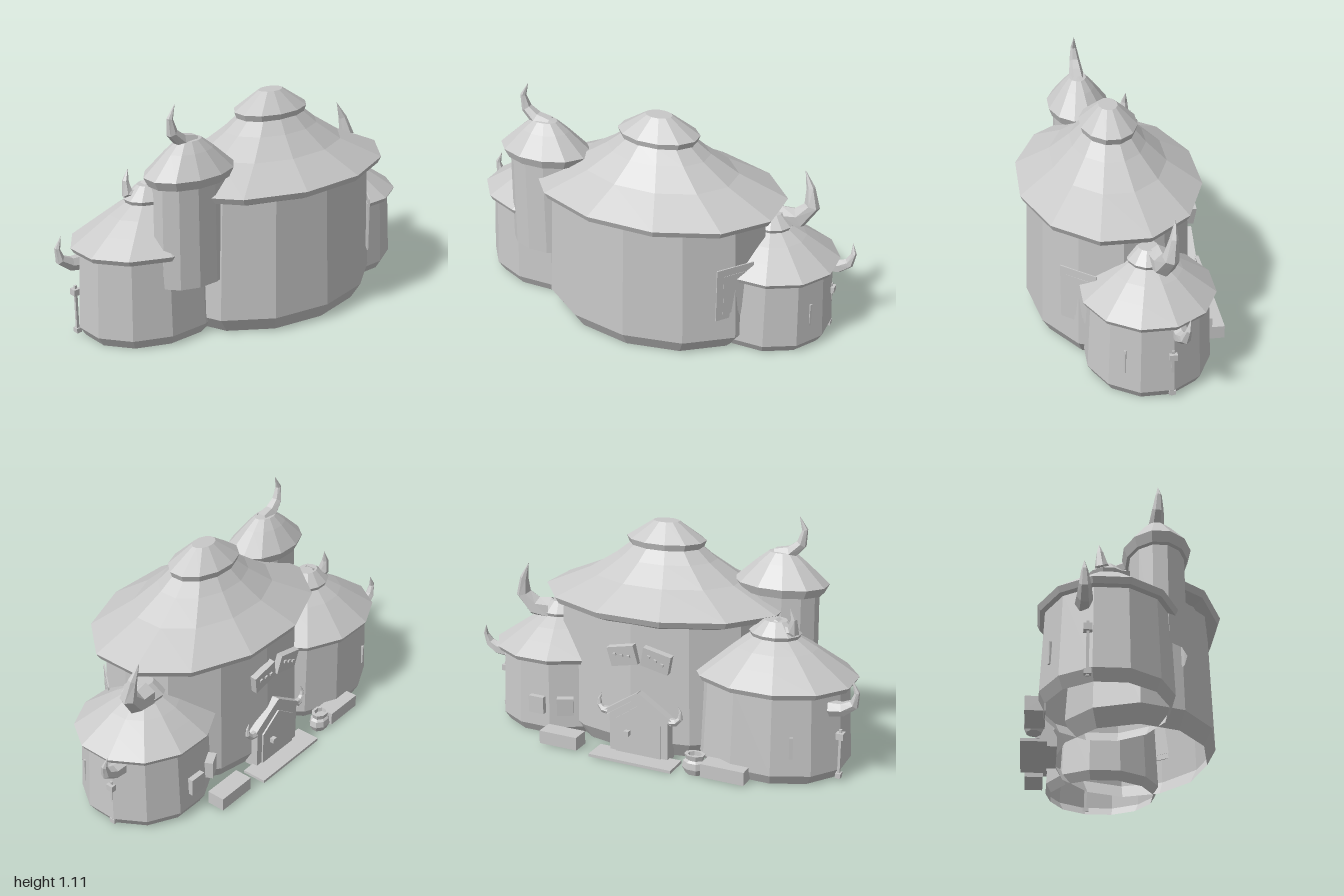
import * as THREE from 'three';

const stone = new THREE.MeshStandardMaterial({ color: 0xc8c8c8, flatShading: true, side: THREE.DoubleSide });
stone.name = 'plainGrey';

const HALF = Math.PI / 12; // half of one of the twelve facets
const rad = (deg) => (deg * Math.PI) / 180;

function add(parent, name, geometry, x = 0, y = 0, z = 0) {
  const mesh = new THREE.Mesh(geometry, stone);
  mesh.name = name;
  mesh.position.set(x, y, z);
  parent.add(mesh);
  return mesh;
}

function box(parent, name, w, h, d, x, y, z) {
  return add(parent, name, new THREE.BoxGeometry(w, h, d), x, y, z);
}

// Twelve-sided oval shell: profile gives [distance to facet, height], stretched along x
function shell(parent, name, profile, cx, cz, stretch, phase = HALF) {
  const pts = profile.map(([r, y]) => new THREE.Vector2(r / Math.cos(HALF), y));
  const g = new THREE.LatheGeometry(pts, 12, phase);
  g.scale(stretch, 1, 1);
  return add(parent, name, g, cx, 0, cz);
}

// Tapered curved horn along a short path
function horn(parent, name, path, radius) {
  const curve = new THREE.CatmullRomCurve3(path.map((p) => new THREE.Vector3(...p)));
  const segs = 4, sides = 6;
  const g = new THREE.TubeGeometry(curve, segs, radius, sides);
  const pos = g.attributes.position, v = new THREE.Vector3();
  for (let i = 0; i <= segs; i++) {
    const c = curve.getPointAt(i / segs);
    const k = 1 - Math.pow(i / segs, 1.5) * 0.99;
    for (let j = 0; j <= sides; j++) {
      const n = i * (sides + 1) + j;
      v.fromBufferAttribute(pos, n).sub(c).multiplyScalar(k).add(c);
      pos.setXYZ(n, v.x, v.y, v.z);
    }
  }
  return add(parent, name, g);
}

// Box lying against the wall of an oval hut, facing outward
function onWall(parent, name, hut, deg, y, w, h, d) {
  const a = rad(deg), rx = hut.r * hut.stretch;
  const mesh = box(parent, name, w, h, d, hut.x + rx * Math.sin(a), y, hut.z + hut.r * Math.cos(a));
  mesh.rotation.y = Math.atan2(Math.sin(a) / rx, Math.cos(a) / hut.r);
  return mesh;
}

const mainHut = { x: 0.07, z: 0.045, r: 0.388, stretch: 1.4 };
const rightHut = { x: 0.6, z: -0.06, r: 0.274, stretch: 1.085 };
const leftHut = { x: -0.545, z: -0.105, r: 0.28, stretch: 1.265 };

function buildMainHut(root) {
  const g = new THREE.Group();
  g.name = 'mainHut';
  root.add(g);
  const { x, z } = mainHut;
  shell(g, 'mainWall', [[0.347, 0], [0.387, 0.075], [0.368, 0.65]], x, z, 1.4, 0);
  shell(g, 'mainRoof', [[0.36, 0.632], [0.408, 0.655], [0.42, 0.685], [0.262, 0.785], [0.17, 0.87], [0.118, 0.93]], x, z, 1.43);
  shell(g, 'roofCap', [[0.1, 0.925], [0.122, 0.925], [0.13, 0.955], [0.043, 1.04], [0, 1.04]], x, z - 0.003, 1.48);

  // Side window, nearly flush with the wall
  onWall(g, 'windowFrame', mainHut, 60, 0.325, 0.19, 0.27, 0.006);
  onWall(g, 'windowPanel', mainHut, 60, 0.32, 0.12, 0.205, 0.009);

  // Tilted notice boards with studs over the door
  for (const s of [-1, 1]) {
    const board = new THREE.Group();
    board.name = 'noticeBoard';
    board.position.set(0.02 + s * 0.085, 0.49, -0.345);
    board.rotation.set(-0.1, 0, -s * 0.22);
    g.add(board);
    box(board, 'boardPlate', 0.14, 0.095, 0.03, 0, 0, 0);
    for (const k of [-1, 0, 1]) box(board, 'boardStud', 0.015, 0.012, 0.01, k * 0.035, 0.005 + k * 0.008, -0.018);
  }
}

function buildHut(root, name, hut, ry, profileScale) {
  const g = new THREE.Group();
  g.name = name;
  root.add(g);
  const fit = (pts) => pts.map(([r, y]) => [r * profileScale, y * ry]);
  shell(g, 'hutWall', fit([[0.255, 0], [0.28, 0.043], [0.264, 0.375]]), hut.x, hut.z, hut.stretch);
  shell(g, 'hutRoof', fit([[0.255, 0.365], [0.285, 0.37], [0.296, 0.392], [0.215, 0.452], [0.15, 0.5], [0.088, 0.54]]), hut.x, hut.z, hut.stretch);
  shell(g, 'hutCap', fit([[0.07, 0.537], [0.085, 0.537], [0.093, 0.555], [0.042, 0.605], [0, 0.605]]), hut.x, hut.z, hut.stretch);
  return g;
}

// Thin pole on the outer wall, under a horn
function wallPole(parent, x, z) {
  box(parent, 'wallPole', 0.012, 0.24, 0.012, x, 0.13, z);
  box(parent, 'poleBracket', 0.035, 0.03, 0.036, x, 0.22, z);
  box(parent, 'poleFoot', 0.025, 0.022, 0.03, x, 0.028, z);
}

function buildTower(root) {
  const g = new THREE.Group();
  g.name = 'tower';
  root.add(g);
  const x = -0.483, z = 0.12;
  shell(g, 'towerWall', [[0.125, 0.28], [0.121, 0.76]], x, z, 1.46);
  shell(g, 'towerRoof', [[0.11, 0.75], [0.135, 0.752], [0.15, 0.795], [0.08, 0.89], [0.042, 0.935], [0, 0.94]], x, z, 1.48);
  horn(g, 'towerHorn', [[-0.46, 0.915, z], [-0.54, 0.942, z], [-0.585, 1.0, z + 0.003], [-0.588, 1.05, z + 0.005], [-0.56, 1.11, z + 0.005]], 0.04);
}

function buildDoor(root) {
  const g = new THREE.Group();
  g.name = 'door';
  g.position.x = 0.02;
  root.add(g);
  const gable = (name, w, eave, peak, z, depth) => {
    const s = new THREE.Shape([[-w, 0], [w, 0], [w, eave], [0, peak], [-w, eave]].map((p) => new THREE.Vector2(...p)));
    add(g, name, new THREE.ExtrudeGeometry(s, { depth, bevelEnabled: false }), 0, 0, z);
  };
  gable('doorFrame', 0.15, 0.2, 0.3, -0.37, 0.07);
  gable('doorLeaf', 0.115, 0.18, 0.26, -0.378, 0.03);
  box(g, 'doorKnob', 0.024, 0.024, 0.025, 0.05, 0.12, -0.387);
  for (const s of [-1, 1]) {
    const beam = box(g, 'gableBeam', 0.21, 0.022, 0.04, s * 0.085, 0.258, -0.355);
    beam.rotation.z = -s * 0.58;
    horn(g, 'doorHorn', [[s * 0.16, 0.205, -0.36], [s * 0.195, 0.21, -0.36], [s * 0.212, 0.24, -0.357], [s * 0.198, 0.285, -0.355]], 0.02);
  }
  box(g, 'doorstep', 0.425, 0.014, 0.12, 0.003, 0.007, -0.405);
}

export function createModel() {
  const root = new THREE.Group();
  root.name = 'hutCluster';
  buildMainHut(root);
  buildTower(root);
  buildDoor(root);

  // Hut on the +x side
  const l = buildHut(root, 'leftHut', rightHut, 1, 1);
  horn(l, 'roofHorn', [[0.63, 0.565, -0.1], [0.71, 0.57, -0.112], [0.768, 0.635, -0.13], [0.755, 0.71, -0.143], [0.718, 0.8, -0.155]], 0.058);
  horn(l, 'wallHorn', [[0.86, 0.33, -0.155], [0.925, 0.335, -0.16], [0.972, 0.378, -0.168], [0.963, 0.455, -0.185]], 0.038);
  onWall(l, 'wallSlot', rightHut, 60, 0.185, 0.01, 0.115, 0.008);
  onWall(l, 'windowBox', rightHut, 180, 0.158, 0.08, 0.085, 0.05).position.x = 0.58;
  onWall(l, 'windowBox', rightHut, 210, 0.158, 0.08, 0.085, 0.075);
  wallPole(l, 0.893, -0.127);

  // Hut on the -x side
  const r = buildHut(root, 'rightHut', leftHut, 1.13, 1.01);
  horn(r, 'roofHorn', [[-0.54, 0.655, -0.11], [-0.6, 0.635, -0.12], [-0.64, 0.65, -0.135], [-0.645, 0.69, -0.14], [-0.625, 0.76, -0.145]], 0.045);
  horn(r, 'wallHorn', [[-0.85, 0.35, -0.215], [-0.92, 0.36, -0.215], [-0.975, 0.412, -0.218], [-0.948, 0.5, -0.22]], 0.038);
  onWall(r, 'wallSlot', leftHut, 210, 0.185, 0.016, 0.1, 0.012);
  wallPole(r, -0.9, -0.2);

  // Benches and a pot along the back
  box(root, 'bench', 0.2, 0.065, 0.088, 0.412, 0.038, -0.402);
  box(root, 'bench', 0.21, 0.065, 0.088, -0.435, 0.038, -0.402);
  const profile = [[0, 0], [0.04, 0], [0.055, 0.03], [0.05, 0.06], [0.038, 0.07], [0.045, 0.095], [0.03, 0.095], [0.028, 0.075], [0, 0.075]];
  const pot = add(root, 'pot', new THREE.LatheGeometry(profile.map((p) => new THREE.Vector2(...p)), 8, Math.PI / 8), -0.285, 0, -0.405);
  pot.scale.set(1.12, 1, 0.85);
  return root;
}
